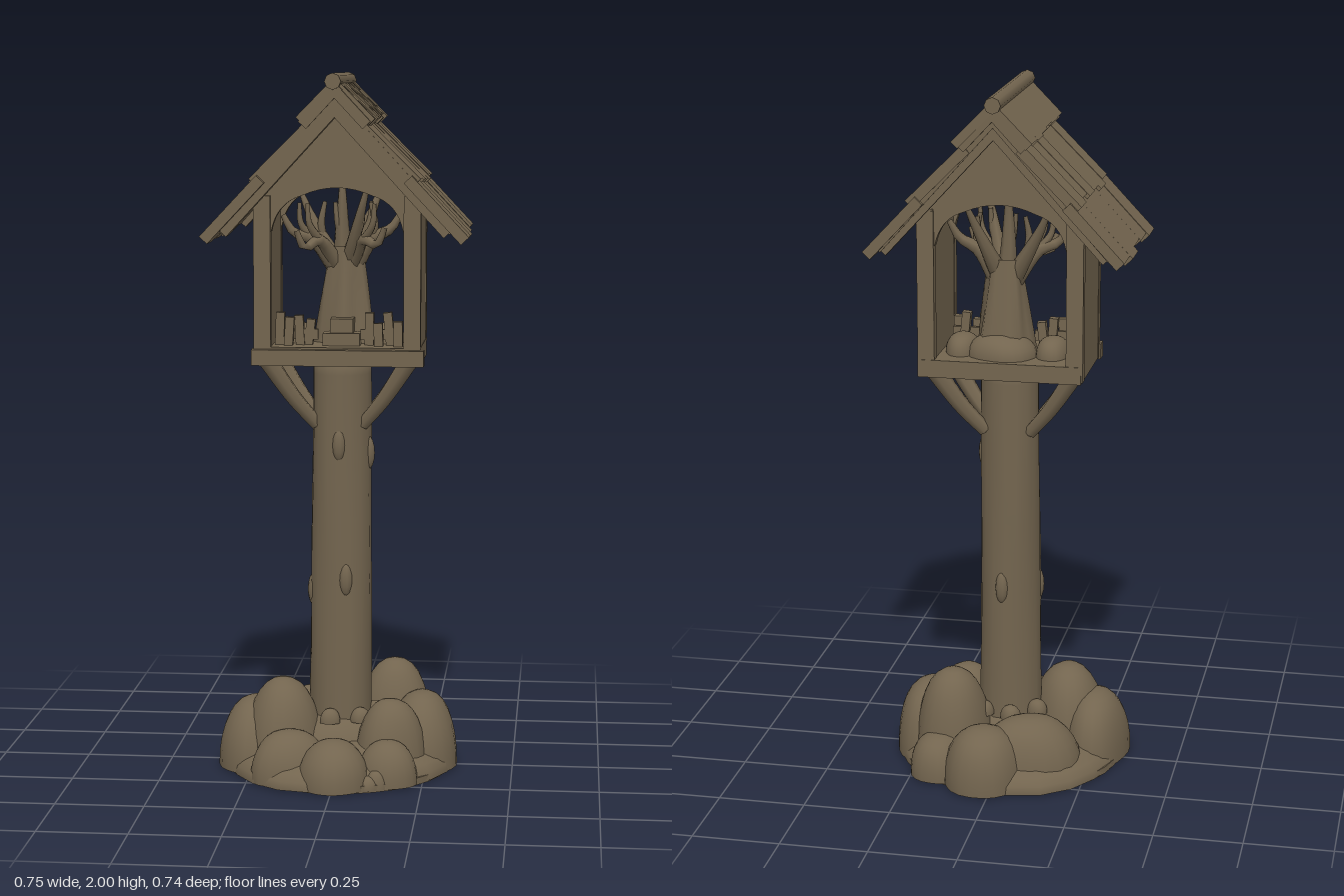
import * as THREE from 'three';
import { mergeVertices } from 'three/addons/utils/BufferGeometryUtils.js';

const wood = new THREE.MeshStandardMaterial({ color: 0x73654f });
wood.name = 'weathered brown';

// Small seeded random source
let seed = 7;
const rand = (a, b) => {
  seed = (seed * 16807) % 2147483647;
  return a + (b - a) * (seed / 2147483647);
};

function add(parent, name, geometry, x = 0, y = 0, z = 0) {
  const mesh = new THREE.Mesh(geometry, wood);
  mesh.name = name;
  mesh.position.set(x, y, z);
  parent.add(mesh);
  return mesh;
}

const box = (parent, name, x0, x1, y0, y1, z0, z1) =>
  add(parent, name, new THREE.BoxGeometry(x1 - x0, y1 - y0, z1 - z0),
    (x0 + x1) / 2, (y0 + y1) / 2, (z0 + z1) / 2);

// Moves every vertex by a rule, then smooths across seams
function reshape(geometry, rule) {
  geometry.deleteAttribute('uv');
  geometry.deleteAttribute('normal');
  const g = mergeVertices(geometry, 1e-4);
  const p = g.attributes.position, v = new THREE.Vector3();
  for (let i = 0; i < p.count; i++) {
    rule(v.fromBufferAttribute(p, i));
    p.setXYZ(i, v.x, v.y, v.z);
  }
  g.computeVertexNormals();
  return g;
}

// Sloping board whose upper face follows the line (x0,y0)-(x1,y1) on side s
function slopeBoard(parent, name, s, x0, y0, x1, y1, z0, z1, t) {
  const len = Math.hypot(x1 - x0, y1 - y0);
  const nx = (y0 - y1) / len, ny = (x1 - x0) / len;
  const m = add(parent, name, new THREE.BoxGeometry(len, t, z1 - z0),
    s * ((x0 + x1) / 2 - nx * t / 2), (y0 + y1) / 2 - ny * t / 2, (z0 + z1) / 2);
  m.rotation.z = s * Math.atan2(y1 - y0, x1 - x0);
  return m;
}

// Tube through points that narrows from r0 to r1
function limb(parent, name, points, r0, r1, sides = 7) {
  const n = 10;
  const path = new THREE.CatmullRomCurve3(points.map(p => new THREE.Vector3(...p)));
  const g = new THREE.TubeGeometry(path, n, 1, sides, false);
  const p = g.attributes.position, v = new THREE.Vector3();
  for (let i = 0; i <= n; i++) {
    const c = path.getPointAt(i / n), r = r0 + (r1 - r0) * i / n;
    for (let j = 0; j <= sides; j++) {
      const k = i * (sides + 1) + j;
      v.fromBufferAttribute(p, k).sub(c).multiplyScalar(r).add(c);
      p.setXYZ(k, v.x, v.y, v.z);
    }
  }
  return add(parent, name, g);
}

// Steep-sided dome standing on its flat base
function boulder(parent, name, x, z, rx, h, rz, turn = 0, y = 0.004) {
  const ph = rand(0, 6);
  const g = reshape(new THREE.SphereGeometry(1, 22, 16), v => {
    const up = Math.max(v.y, 0);
    const flat = Math.hypot(v.x, v.z) || 1;
    const w = Math.pow(Math.min(flat, 1), 0.85) / flat;
    const k = 1 + 0.06 * Math.sin(v.x * 3 + ph) * Math.cos(v.z * 3 + ph);
    v.set(v.x * w * rx * k, Math.pow(up, 0.9) * h, v.z * w * rz * k);
  });
  add(parent, name, g, x, y, z).rotation.y = turn;
}

function buildBase(root) {
  const base = new THREE.Group();
  base.name = 'rockBase';
  root.add(base);
  // Low skirt that joins the boulders
  boulder(base, 'rockSkirt', -0.005, 0.005, 0.33, 0.1, 0.335);
  // x, z, half width, height, half depth, turn
  [[-0.165, 0.06, 0.115, 0.26, 0.13, 0], [-0.25, 0.03, 0.1, 0.195, 0.15, 0],
   [0.15, -0.105, 0.115, 0.285, 0.115, 0], [0.235, -0.01, 0.105, 0.21, 0.15, 0],
   [0.15, 0.11, 0.105, 0.215, 0.1, 0], [0.0, 0.255, 0.1, 0.13, 0.112, 0],
   [-0.13, 0.2, 0.115, 0.14, 0.1, 0.3], [0.03, -0.25, 0.12, 0.17, 0.12, 0],
   [-0.09, -0.17, 0.16, 0.18, 0.115, 0.4], [0.17, -0.2, 0.09, 0.12, 0.1, 0],
   [0.0, 0.02, 0.16, 0.17, 0.15, 0], [0.15, 0.21, 0.085, 0.12, 0.085, 0]]
    .forEach(([x, z, a, h, b, t]) => boulder(base, 'boulder', x, z, a, h, b, t));
  // Pebbles at the front left and around the post
  for (let i = 0; i < 5; i++)
    boulder(base, 'pebble', 0.1 + 0.024 * i, 0.29 - 0.012 * i, 0.03, rand(0.03, 0.06), 0.03);
  for (let i = 0; i < 7; i++) {
    const a = i * 0.9;
    boulder(base, 'pebble', 0.1 * Math.cos(a), 0.11 * Math.sin(a), 0.03, 0.04, 0.028, 0, 0.145);
  }
  const slab = add(base, 'groundSlab', new THREE.CylinderGeometry(0.325, 0.325, 0.02, 32), -0.005, 0.01, 0.005);
  slab.scale.z = 1.02;
}

function buildPost(root) {
  const g = reshape(new THREE.CylinderGeometry(0.083, 0.092, 1.2, 16, 24), v => {
    const a = Math.atan2(v.z, v.x);
    const k = 1 + 0.025 * Math.sin(3 * a + v.y * 4) + 0.015 * Math.sin(5 * a - v.y * 9);
    v.x *= k;
    v.z *= k * 1.05;
  });
  add(root, 'post', g, 0.001, 0.6, 0.006);
  // Low knots on the trunk
  [[0.078, 0.92, 0.02], [-0.075, 0.52, 0.03], [0.02, 0.56, 0.085], [0.01, 0.54, -0.078], [0, 0.95, 0.083]]
    .forEach(([x, y, z]) => add(root, 'knot', new THREE.SphereGeometry(1, 10, 8), x, y, z).scale.set(0.02, 0.05, 0.02));
  // Four braces spreading to the corners of the floor
  for (const sx of [-1, 1]) for (const sz of [-1, 1])
    limb(root, 'brace', [[sx * 0.065, 1.005, sz * 0.045], [sx * 0.13, 1.085, sz * 0.072], [sx * 0.205, 1.2, sz * 0.1]], 0.02, 0.029, 6);
}

function buildHouse(root) {
  const house = new THREE.Group();
  house.name = 'shrineHouse';
  root.add(house);
  box(house, 'floor', -0.23, 0.235, 1.185, 1.235, -0.16, 0.14);
  box(house, 'frontSill', -0.24, 0.245, 1.185, 1.23, 0.125, 0.165);
  for (const s of [-1, 1]) {
    box(house, 'sideWall', s * 0.211 - 0.022, s * 0.211 + 0.022, 1.19, 1.665, -0.155, 0.13);
    for (const z of [-0.143, 0.128])
      box(house, 'cornerPost', s * 0.211 - 0.024, s * 0.211 + 0.024, 1.19, 1.66, z - 0.015, z + 0.015);
  }
  // Gables with an arched lower edge
  const gable = new THREE.Shape();
  gable.moveTo(-0.235, 1.56);
  gable.lineTo(-0.185, 1.56);
  gable.quadraticCurveTo(-0.17, 1.64, -0.1, 1.66);
  gable.quadraticCurveTo(0, 1.705, 0.1, 1.66);
  gable.quadraticCurveTo(0.17, 1.64, 0.185, 1.56);
  gable.lineTo(0.235, 1.56);
  gable.lineTo(0.235, 1.665);
  gable.lineTo(0, 1.91);
  gable.lineTo(-0.235, 1.665);
  const gg = new THREE.ExtrudeGeometry(gable, { depth: 0.025, bevelEnabled: false, curveSegments: 8 });
  add(house, 'frontGable', gg, 0, 0, 0.11);
  add(house, 'backGable', gg, 0, 0, -0.15);
}

function buildRoof(root) {
  const roof = new THREE.Group();
  roof.name = 'roof';
  root.add(roof);
  // Shingle rows: upper line, lower line, depth range, board count
  const rows = [[0.215, 1.72, 0.365, 1.56, -0.264, 0.238, 5],
                [0.085, 1.865, 0.24, 1.71, -0.255, 0.212, 6]];
  for (const s of [-1, 1]) {
    slopeBoard(roof, 'roofDeck', s, 0, 1.95, 0.335, 1.575, -0.25, 0.2, 0.025);
    for (const [x0, y0, x1, y1, z0, z1, n] of rows) {
      const step = (z1 - z0) / n;
      for (let i = 0; i < n; i++) {
        const d = rand(-0.008, 0.01), lift = rand(-0.004, 0.004);
        slopeBoard(roof, 'shingle', s, x0, y0 + lift, x1 + d, y1 - d + lift,
          z0 + i * step, z0 + (i + 1) * step, 0.03);
      }
    }
    // Top row: separate slats on the left slope, close boards on the right
    slopeBoard(roof, 'topBoard', s, 0, 1.975, 0.1, 1.868, -0.262, 0.22, 0.03);
    const n = s > 0 ? 11 : 6, step = 0.485 / n;
    for (let i = 0; i < n; i++) {
      const d = rand(-0.005, 0.006), z = -0.265 + i * step;
      const m = slopeBoard(roof, 'topSlat', s, 0, 1.988, 0.108 + d, 1.878 - d, z, z + step * (s > 0 ? 0.7 : 1), 0.025);
      if (s > 0) m.rotation.x = rand(-0.06, 0.06);
    }
    // Barge boards under both roof ends
    slopeBoard(roof, 'frontBargeBoard', s, 0, 1.945, 0.335, 1.58, 0.165, 0.215, 0.045);
    slopeBoard(roof, 'backBargeBoard', s, 0, 1.945, 0.335, 1.58, -0.245, -0.205, 0.045);
  }
  const ridge = add(roof, 'ridgeBeam', new THREE.CylinderGeometry(0.023, 0.023, 0.5, 8), -0.004, 1.977, -0.025);
  ridge.rotation.x = Math.PI / 2;
}

function buildTree(root) {
  const tree = new THREE.Group();
  tree.name = 'carvedTree';
  root.add(tree);
  // Fluted trunk on a low mound
  const trunk = reshape(new THREE.CylinderGeometry(0.045, 0.085, 0.29, 18, 8, true), v => {
    const k = 1 + 0.12 * Math.sin(5 * Math.atan2(v.z, v.x) + v.y * 6);
    v.x *= k;
    v.z *= k * 0.85;
  });
  add(tree, 'trunk', trunk, 0.01, 1.365, -0.03);
  boulder(tree, 'mound', 0.01, -0.06, 0.1, 0.07, 0.085, 0, 1.23);
  // Main branches: tip x, y, z and base radius, each with a side twig
  [[-0.165, 1.6, 0.02, 0.024], [-0.12, 1.65, -0.08, 0.024], [0.0, 1.7, -0.03, 0.026], [0.075, 1.67, 0.06, 0.022],
   [0.17, 1.61, -0.03, 0.026], [0.13, 1.57, 0.08, 0.02], [-0.12, 1.56, 0.08, 0.02], [0.1, 1.66, -0.11, 0.024]]
    .forEach(([x, y, z, r], i) => {
      const mid = [x * 0.5, 1.53, z * 0.5 - 0.012], bend = [x * 0.82, y - 0.05, z * 0.85];
      limb(tree, 'branch', [[0.006 + x * 0.1, 1.44, -0.03], mid, bend, [x, y, z]], r + 0.006, 0.008);
      const side = i % 2 ? 1 : -1;
      limb(tree, 'twig', [mid, [x * 0.62 + side * 0.012, 1.575, z * 0.6], [x * 0.6 + side * 0.02, 1.635, z * 0.65]], 0.014, 0.006, 6);
    });
  // Plinth in front of the trunk
  box(tree, 'plinth', -0.045, 0.06, 1.23, 1.27, 0.03, 0.09);
  box(tree, 'plinthTop', -0.025, 0.04, 1.27, 1.31, 0.02, 0.075);
  // Uneven pickets on either side
  for (const s of [-1, 1]) for (let i = 0; i < 4; i++) {
    const h = rand(0.07, 0.1);
    const m = add(tree, 'picket', new THREE.BoxGeometry(0.025, h, 0.025), s * (0.085 + i * 0.028), 1.23 + h / 2, 0.07 + rand(-0.02, 0.02));
    m.rotation.z = rand(-0.12, 0.12);
  }
  for (const s of [-1, 1]) {
    box(tree, 'picketRail', s * 0.12 - 0.06, s * 0.12 + 0.06, 1.25, 1.28, 0.055, 0.067);
    boulder(tree, 'sideStone', s * 0.13, -0.04, 0.05, 0.06, 0.07, 0, 1.23);
  }
}

export function createModel() {
  seed = 7;
  const root = new THREE.Group();
  root.name = 'waysideShrine';
  buildBase(root);
  buildPost(root);
  buildHouse(root);
  buildRoof(root);
  buildTree(root);
  return root;
}
